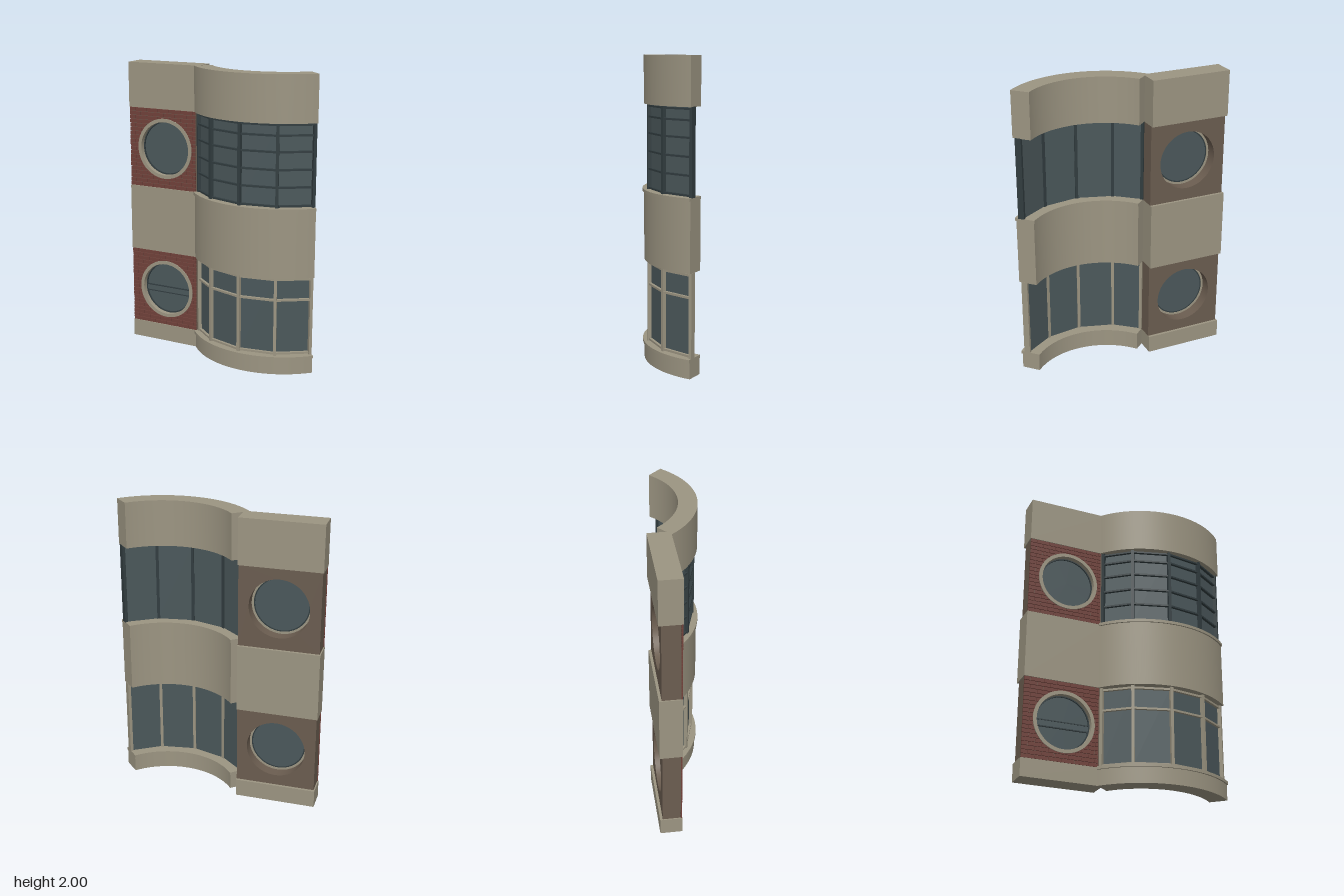
import * as THREE from 'three';
import { toCreasedNormals } from 'three/addons/utils/BufferGeometryUtils.js';

const mat = (name, color) => {
  const m = new THREE.MeshStandardMaterial({ color });
  m.name = name;
  return m;
};

// Curved bay: arc centre, angles measured from +z towards +x
const CX = 0.275, CZ = -0.435;
const T0 = -50.6 * Math.PI / 180, T1 = Math.PI / 4;
// Flat wall extents
const WX0 = -0.715, WX1 = -0.165, RX = -0.435;

export function createModel() {
  const stone = mat('stone', 0x9c9582);
  const brick = mat('red brick', 0x70413a);
  const mortar = mat('brown backing', 0x6b5d50);
  const glass = mat('glass', 0x4b585b);
  const darkFrame = mat('dark frame', 0x323d40);

  const model = new THREE.Group();
  model.name = 'facadeSection';

  const add = (parent, name, geo, material, x = 0, y = 0, z = 0) => {
    const mesh = new THREE.Mesh(geo, material);
    mesh.name = name;
    mesh.position.set(x, y, z);
    parent.add(mesh);
    return mesh;
  };
  const group = (name) => {
    const g = new THREE.Group();
    g.name = name;
    model.add(g);
    return g;
  };
  const extrude = (shape, depth) => toCreasedNormals(
    new THREE.ExtrudeGeometry(shape, { depth, bevelEnabled: false, curveSegments: 48 }), 0.5);

  // Slab between two radii, following the bay
  const arcSlab = (name, rIn, rOut, y0, y1) => {
    const s = new THREE.Shape();
    const a0 = T0 - Math.PI / 2, a1 = T1 - Math.PI / 2;
    s.absarc(CX, -CZ, rOut, a0, a1, false);
    s.absarc(CX, -CZ, rIn, a1, a0, true);
    s.closePath();
    add(model, name, extrude(s, y1 - y0).rotateX(-Math.PI / 2), stone, 0, y0);
  };

  // Stone bands, flat and curved
  for (const [name, y0, y1] of [['base', 0, 0.122], ['middle', 0.67, 1.134], ['top', 1.69, 2]]) {
    add(model, name + 'FlatBand', new THREE.BoxGeometry(WX1 - WX0, y1 - y0, 0.15),
      stone, (WX0 + WX1) / 2, (y0 + y1) / 2, -0.12);
    arcSlab(name + 'CurvedBand', 0.49, 0.615, y0, name === 'top' ? y1 : y1 - 0.01);
  }
  arcSlab('lowerSill', 0.487, 0.625, 0.106, 0.126);
  arcSlab('upperSill', 0.487, 0.625, 1.12, 1.14);

  // Brick wall with a round window
  const brickWall = (name, y0, y1, cy, withBars) => {
    const g = group(name);
    const s = new THREE.Shape();
    s.moveTo(WX0 + 0.008, y0).lineTo(WX1, y0).lineTo(WX1, y1).lineTo(WX0 + 0.008, y1).closePath();
    s.holes.push(new THREE.Path().absarc(RX, cy, 0.2, 0, Math.PI * 2, true));
    add(g, 'wallBacking', extrude(s, 0.122), mortar, 0, 0, -0.177);

    // Bricks in running bond, cut around the opening
    const rows = 20, rowH = (y1 - y0) / rows, len = 0.09, gap = 0.0035;
    const xa = WX0 + 0.003, xb = -0.198;
    const layBrick = (a, b, y) => {
      if (b - a < 0.006) return;
      add(g, 'brick', new THREE.BoxGeometry(b - a, rowH - gap, 0.009), brick, (a + b) / 2, y, -0.0515);
    };
    for (let r = 0; r < rows; r++) {
      const y = y0 + (r + 0.5) * rowH;
      const half = Math.sqrt(Math.max(0, 0.198 ** 2 - (y - cy) ** 2));
      for (let x = xa - (r % 2) * len / 2; x < xb; x += len) {
        const a = Math.max(x, xa), b = Math.min(x + len - gap, xb);
        if (half === 0) { layBrick(a, b, y); continue; }
        layBrick(a, Math.min(b, RX - half), y);
        layBrick(Math.max(a, RX + half), b, y);
      }
    }

    // Stone surround, dark rim and pane
    const ring = (label, rIn, rOut, z0, z1, material) => {
      const o = new THREE.Shape().absarc(0, 0, rOut, 0, Math.PI * 2, false);
      o.holes.push(new THREE.Path().absarc(0, 0, rIn, 0, Math.PI * 2, true));
      add(g, label, extrude(o, z1 - z0), material, RX, cy, z0);
    };
    ring('roundSurround', 0.186, 0.21, -0.1, -0.041, stone);
    ring('roundRim', 0.178, 0.187, -0.096, -0.076, darkFrame);
    add(g, 'roundPane', new THREE.CylinderGeometry(0.183, 0.183, 0.01, 48).rotateX(Math.PI / 2),
      glass, RX, cy, -0.09);
    if (withBars) {
      for (const dy of [-0.037, 0.006]) {
        add(g, 'paneBar', new THREE.BoxGeometry(0.36, 0.007, 0.012), darkFrame, RX, cy + dy, -0.081);
      }
      add(g, 'paneRail', new THREE.BoxGeometry(0.36, 0.038, 0.008), glass, RX, cy - 0.0155, -0.082);
    }
  };
  brickWall('lowerBrickWall', 0.122, 0.67, 0.395, true);
  brickWall('upperBrickWall', 1.134, 1.69, 1.415, false);

  // Faceted bay window: flat panes between posts, with straight rails
  const posts = [-49.6, -28.9, -3.9, 20.9, 44.2].map((d) => d * Math.PI / 180);
  const at = (t, r) => new THREE.Vector3(CX + r * Math.sin(t), 0, CZ + r * Math.cos(t));
  const bayWindow = (name, y0, y1, frame, postW, railH, rails) => {
    const g = group(name);
    const yc = (y0 + y1) / 2;
    posts.forEach((t, i) => {
      const p = at(t, 0.579);
      add(g, 'post', new THREE.BoxGeometry(postW, y1 - y0, 0.042), frame, p.x, yc, p.z).rotation.y = t;
      if (i === 0) return;
      const a = at(posts[i - 1], 0.572), b = at(t, 0.572);
      const width = a.distanceTo(b), turn = (posts[i - 1] + t) / 2;
      const m = a.add(b).multiplyScalar(0.5);
      add(g, 'pane', new THREE.BoxGeometry(width + 0.004, y1 - y0, 0.01), glass, m.x, yc, m.z).rotation.y = turn;
      const out = new THREE.Vector3(Math.sin(turn), 0, Math.cos(turn)).multiplyScalar(0.012).add(m);
      for (const y of rails) {
        add(g, 'rail', new THREE.BoxGeometry(width, railH, 0.022), frame, out.x, y, out.z).rotation.y = turn;
      }
    });
  };
  bayWindow('lowerBayWindow', 0.124, 0.672, stone, 0.02, 0.014, [0.138, 0.512, 0.655]);
  bayWindow('upperBayWindow', 1.138, 1.692, darkFrame, 0.02, 0.012, [1.15, 1.273, 1.388, 1.504, 1.61, 1.678]);

  return model;
}
